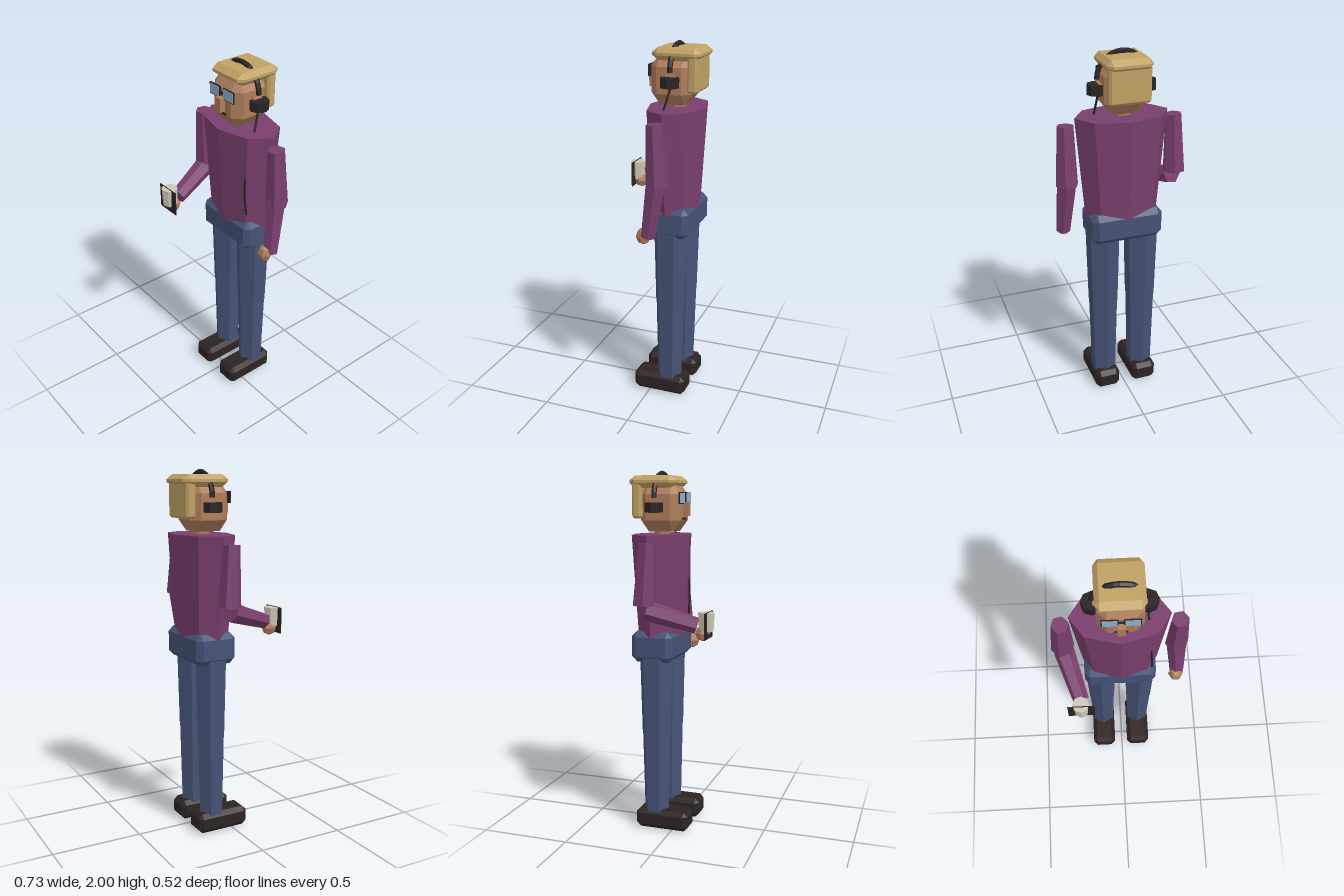
import * as THREE from 'three';
import { ConvexGeometry } from 'three/addons/geometries/ConvexGeometry.js';

const V = (x, y, z) => new THREE.Vector3(x, y, z);

export function createModel() {
  const root = new THREE.Group();
  root.name = 'standingMan';

  const colour = (name, hex) => {
    const m = new THREE.MeshStandardMaterial({ color: hex, flatShading: true });
    m.name = name;
    return m;
  };
  const shirt = colour('plum shirt', 0x7a3f6e);
  const denim = colour('blue denim', 0x465377);
  const skin = colour('skin', 0xae7d5c);
  const hair = colour('sandy hair', 0xc0a164);
  const leather = colour('dark leather', 0x2e2323);
  const black = colour('black plastic', 0x2a2324);
  const china = colour('cup white', 0xcbc8b5);
  const glass = colour('lens blue', 0x8fb3d1);
  const lip = colour('mouth brown', 0x4a2c22);

  const add = (name, geometry, material, x = 0, y = 0, z = 0) => {
    const mesh = new THREE.Mesh(geometry, material);
    mesh.name = name;
    mesh.position.set(x, y, z);
    root.add(mesh);
    return mesh;
  };

  // Box with bevelled edges, c = bevel depth along each axis
  const bevelBox = (w, h, d, cx, cy = cx, cz = cx) => {
    const pts = [];
    for (const sx of [-1, 1]) for (const sy of [-1, 1]) for (const sz of [-1, 1]) {
      const [x, y, z] = [w / 2, h / 2, d / 2];
      pts.push(V(sx * x, sy * (y - cy), sz * (z - cz)));
      pts.push(V(sx * (x - cx), sy * y, sz * (z - cz)));
      pts.push(V(sx * (x - cx), sy * (y - cy), sz * z));
    }
    return new ConvexGeometry(pts);
  };

  // Six-sided tapered limb from a to b
  const limb = (name, a, b, ra, rb, material) => {
    const dir = b.clone().sub(a);
    const mesh = add(name, new THREE.CylinderGeometry(rb, ra, dir.length(), 6), material);
    mesh.position.copy(a).add(b).multiplyScalar(0.5);
    mesh.quaternion.setFromUnitVectors(V(0, 1, 0), dir.normalize());
    return mesh;
  };

  // Torso and hips
  const torso = add('torso', new THREE.CylinderGeometry(0.255, 0.204, 0.56, 8), shirt, -0.003, 1.38, -0.105);
  torso.scale.z = 0.61;
  add('hips', bevelBox(0.395, 0.17, 0.235, 0.03), denim, -0.006, 1.055, -0.108);

  // Legs and shoes
  for (const [side, s] of [['right', -1], ['left', 1]]) {
    const x = s * 0.111 - 0.005;
    limb(side + 'Thigh', V(x, 1.0, -0.105), V(x, 0.56, -0.105), 0.095, 0.084, denim);
    limb(side + 'Shin', V(x, 0.57, -0.105), V(x, 0.1, -0.105), 0.082, 0.071, denim);
    add(side + 'Shoe', bevelBox(0.141, 0.112, 0.305, 0.024), leather, x, 0.057, -0.058);
  }

  // Arms: the left hangs down, the right is bent forward
  limb('leftUpperArm', V(0.295, 1.62, -0.085), V(0.298, 1.3, -0.1), 0.046, 0.063, shirt);
  limb('leftForearm', V(0.297, 1.33, -0.095), V(0.314, 1.02, -0.055), 0.058, 0.042, shirt);
  limb('rightUpperArm', V(-0.302, 1.62, -0.085), V(-0.308, 1.3, -0.1), 0.046, 0.063, shirt);
  limb('rightForearm', V(-0.303, 1.275, -0.09), V(-0.224, 1.195, 0.165), 0.056, 0.043, shirt);
  const hand = new THREE.SphereGeometry(0.043, 6, 4);
  add('leftHand', hand, skin, 0.304, 1.02, -0.025).scale.set(0.95, 1.1, 0.95);
  add('rightHand', hand, skin, -0.225, 1.157, 0.197).scale.set(0.95, 1, 0.95);

  // Cup and thin card held in the right hand
  add('cup', new THREE.CylinderGeometry(0.045, 0.04, 0.1, 8), china, -0.225, 1.218, 0.216);
  add('card', new THREE.BoxGeometry(0.142, 0.14, 0.005), black, -0.224, 1.2, 0.228);

  // Head
  add('neck', new THREE.CylinderGeometry(0.05, 0.046, 0.08, 8), skin, -0.004, 1.675, -0.105);
  add('head', bevelBox(0.23, 0.26, 0.225, 0.05, 0.06, 0.045), skin, -0.004, 1.805, -0.092);
  add('nose', new THREE.BoxGeometry(0.04, 0.075, 0.04), skin, -0.003, 1.795, 0.031);
  add('mouth', new THREE.BoxGeometry(0.068, 0.014, 0.008), lip, -0.003, 1.744, 0.02);

  // Hair
  add('hairTop', bevelBox(0.242, 0.066, 0.265, 0.024, 0.026, 0.034), hair, -0.004, 1.94, -0.126);
  add('hairBack', bevelBox(0.225, 0.19, 0.055, 0.012), hair, -0.004, 1.84, -0.215);

  // Glasses
  for (const [side, s] of [['right', -1], ['left', 1]]) {
    const x = s * 0.054 - 0.003;
    add(side + 'GlassesFrame', new THREE.BoxGeometry(0.083, 0.063, 0.006), black, x, 1.853, 0.024);
    add(side + 'Lens', new THREE.BoxGeometry(0.072, 0.053, 0.004), glass, x, 1.853, 0.028);
  }
  add('glassesBridge', new THREE.BoxGeometry(0.04, 0.01, 0.008), black, -0.003, 1.853, 0.025);

  // Ears and headphones
  for (const [side, s] of [['right', -1], ['left', 1]]) {
    add(side + 'Ear', new THREE.BoxGeometry(0.03, 0.06, 0.054), skin, s * 0.115 - 0.003, 1.805, -0.105);
    add(side + 'EarCup', new THREE.CylinderGeometry(0.052, 0.052, 0.052, 8), black, s * 0.135 - 0.003, 1.803, -0.105);
  }
  add('headphoneBand', new THREE.TorusGeometry(0.133, 0.014, 6, 14, Math.PI), black, -0.003, 1.853, -0.105);
  const cablePath = new THREE.CatmullRomCurve3([
    V(0.125, 1.78, -0.11), V(0.138, 1.66, -0.075), V(0.15, 1.5, -0.02), V(0.157, 1.35, 0), V(0.165, 1.2, -0.006),
  ]);
  add('headphoneCable', new THREE.TubeGeometry(cablePath, 16, 0.006, 5), black);

  return root;
}
